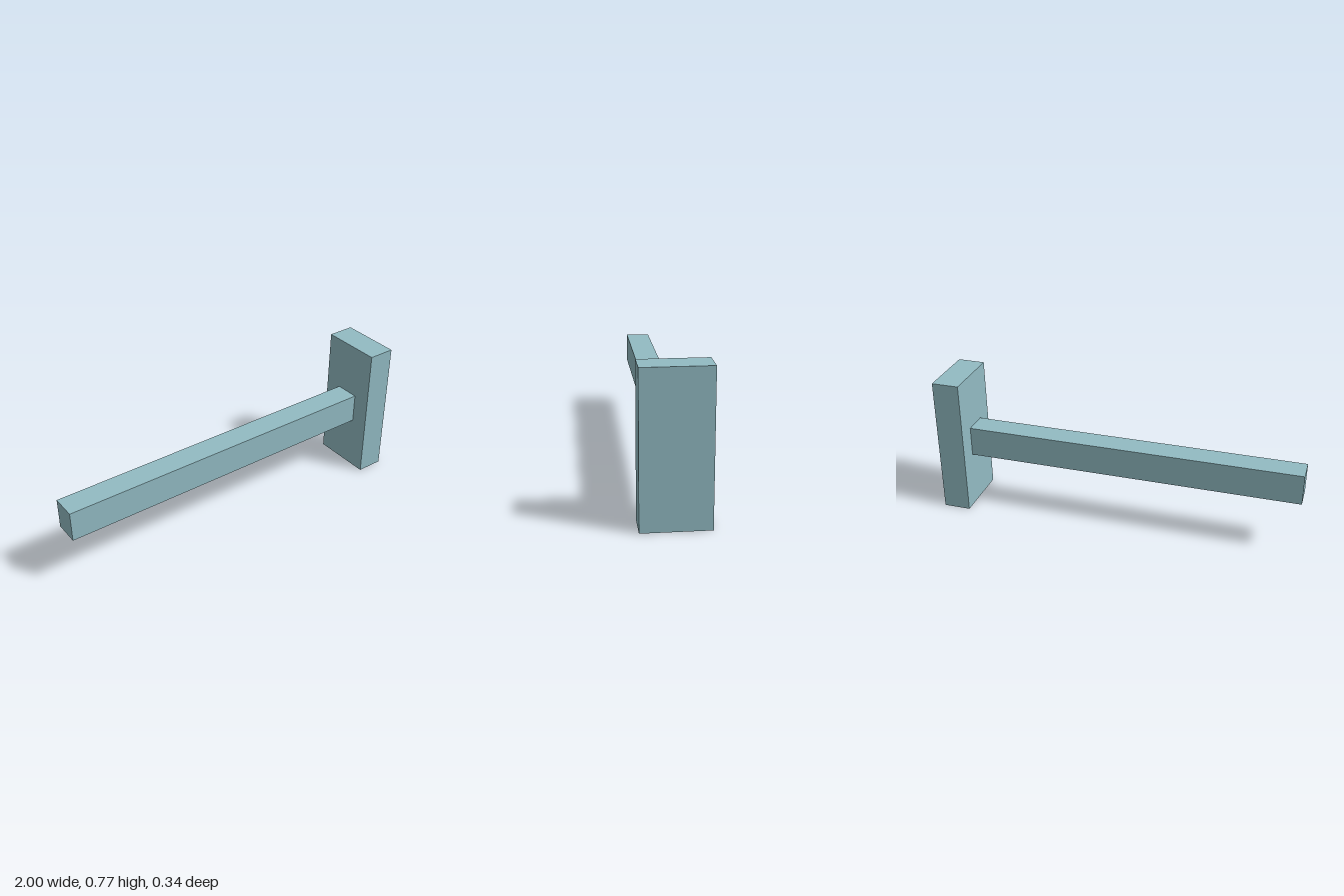
import * as THREE from 'three';

export function createModel() {
  const model = new THREE.Group();
  model.name = 'mallet';

  const paleTeal = new THREE.MeshStandardMaterial({ color: 0x92bbc3 });
  paleTeal.name = 'paleTeal';

  // Box given by its lower and upper corners
  function addBox(name, min, max) {
    const [w, h, d] = max.map((v, i) => v - min[i]);
    const mesh = new THREE.Mesh(new THREE.BoxGeometry(w, h, d), paleTeal);
    mesh.position.set(min[0] + w / 2, min[1] + h / 2, min[2] + d / 2);
    mesh.name = name;
    model.add(mesh);
  }

  // Upright block at the left end
  addBox('head', [0.85, 0, -0.17], [1, 0.77, 0.17]);
  // Long bar butting against the block
  addBox('handle', [-1, 0.303, -0.068], [0.85, 0.47, 0.068]);

  return model;
}
